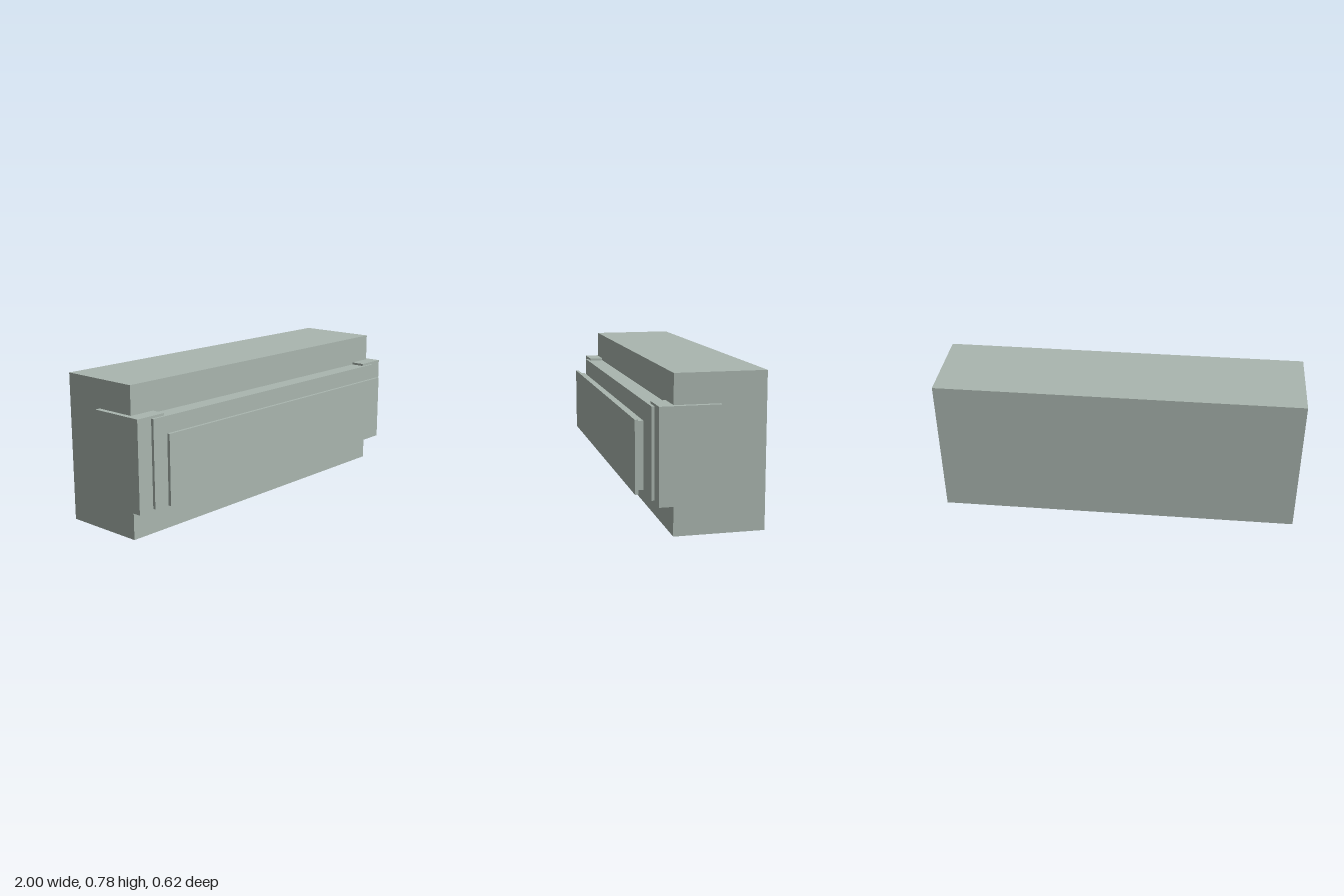
import * as THREE from 'three';

export function createModel() {
  const model = new THREE.Group();
  const greyGreen = new THREE.MeshStandardMaterial({ color: 0xaab6af });
  greyGreen.name = 'greyGreen';

  // Box given by its extents on each axis
  function block(name, [x0, x1], [y0, y1], [z0, z1]) {
    const mesh = new THREE.Mesh(new THREE.BoxGeometry(x1 - x0, y1 - y0, z1 - z0), greyGreen);
    mesh.position.set((x0 + x1) / 2, (y0 + y1) / 2, (z0 + z1) / 2);
    mesh.name = name;
    model.add(mesh);
  }

  // Main body
  block('body', [-0.972, 0.972], [0, 0.777], [-0.308, 0.146]);

  // Brackets wrapping the front corners
  block('leftBracket', [0.828, 1], [0.153, 0.628], [-0.081, 0.222]);
  block('rightBracket', [-1, -0.828], [0.153, 0.628], [-0.081, 0.222]);

  // Raised plate between the brackets
  block('frontPlate', [-0.912, 0.912], [0.164, 0.616], [0.13, 0.237]);

  // Separate stepped cover standing off the plate
  block('coverInsert', [-0.838, 0.838], [0.2, 0.536], [0.258, 0.292]);
  block('coverPanel', [-0.875, 0.875], [0.188, 0.549], [0.292, 0.308]);

  return model;
}
